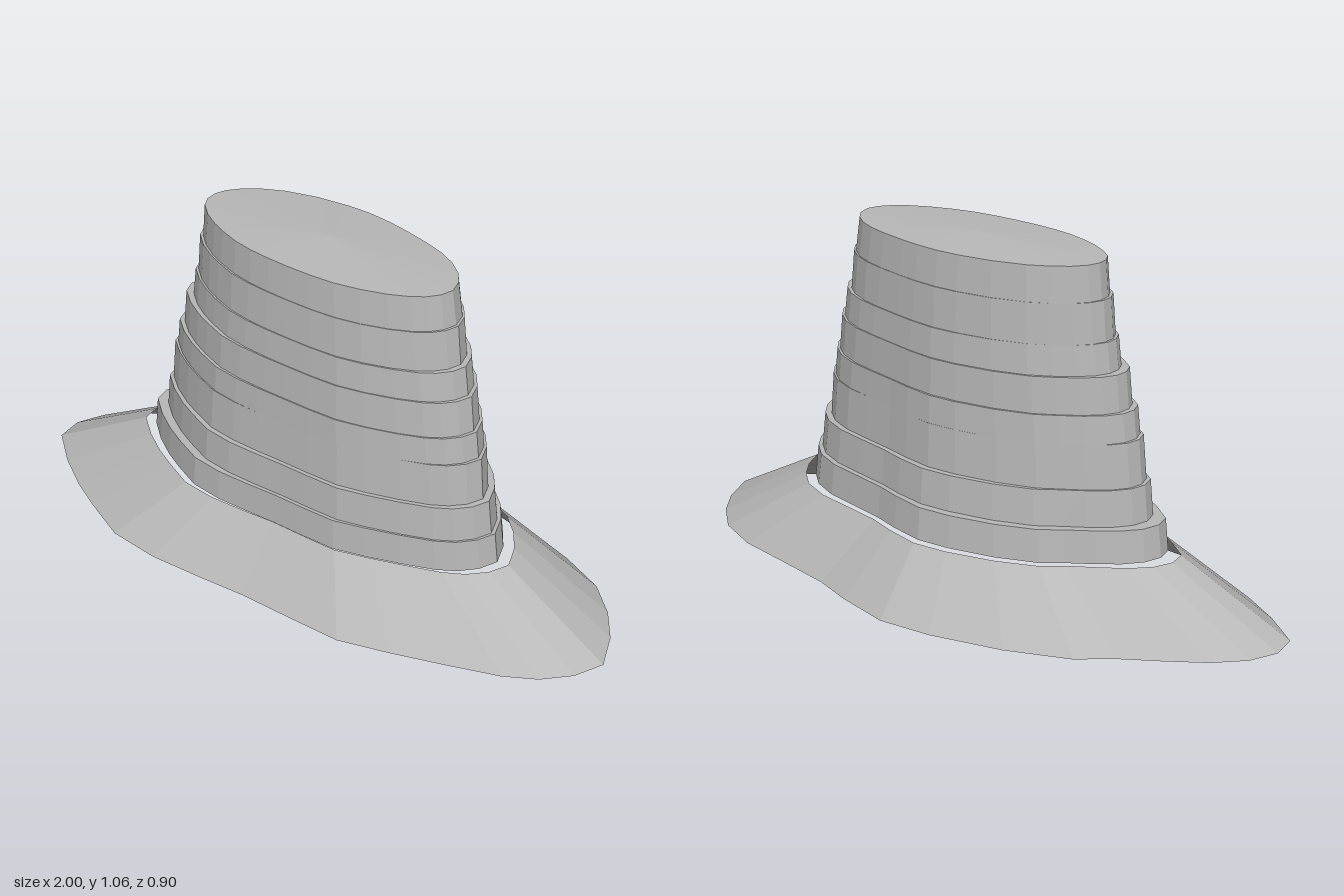
import * as THREE from 'three';

const felt = new THREE.MeshStandardMaterial({ color: 0xb8b8b8, flatShading: true, side: THREE.DoubleSide });
felt.name = 'grey felt';

// Wavy brim outline (x, z), running back, left, front, right
const outline = [
  [0, -.455], [.17, -.42], [.3, -.38], [.49, -.35], [.66, -.325], [.8, -.27], [.89, -.19], [.955, -.1],
  [1, .01], [.96, .1], [.89, .175], [.8, .23], [.65, .29], [.49, .35], [.34, .4], [.165, .41],
  [0, .417], [-.16, .435], [-.33, .45], [-.5, .44], [-.65, .38], [-.76, .33], [-.88, .26], [-.99, .175],
  [-1, .09], [-.96, .005], [-.88, -.075], [-.77, -.15], [-.66, -.22], [-.57, -.295], [-.385, -.375], [-.165, -.435],
];

// Crown ring: outline blended toward an oval, then fitted to x0..x1, z0..z1
function ring(y, blend, x0, x1, z0, z1) {
  const pts = outline.map(([x, z]) => {
    const t = Math.atan2(z / .455, x);
    return [x + (Math.cos(t) - x) * blend, z / .455 + (Math.sin(t) - z / .455) * blend];
  });
  const fit = (k, lo, hi) => {
    const v = pts.map(p => p[k]), a = Math.min(...v), b = Math.max(...v);
    return v.map(n => lo + (hi - lo) * (n - a) / (b - a));
  };
  const xs = fit(0, x0, x1), zs = fit(1, z0, z1);
  return xs.map((x, i) => [x, y, zs[i]]);
}

// Surface through a list of rings, lowest or outermost first
function skin(rings, name) {
  const n = outline.length, index = [];
  for (let r = 0; r < rings.length - 1; r++) {
    for (let i = 0; i < n; i++) {
      const a = r * n + i, b = r * n + (i + 1) % n;
      index.push(a, a + n, b, b, a + n, b + n);
    }
  }
  const geo = new THREE.BufferGeometry();
  geo.setAttribute('position', new THREE.Float32BufferAttribute(rings.flat(2), 3));
  geo.setIndex(index);
  geo.computeVertexNormals();
  const mesh = new THREE.Mesh(geo, felt);
  mesh.name = name;
  return mesh;
}

// Tiers: y0, y1, then bottom and top extents (right, left, back, front)
const tiers = [
  [.19, .29, [-.617, .627, -.277, .29], [-.605, .615, -.268, .285]],
  [.29, .40, [-.565, .605, -.245, .27], [-.553, .592, -.237, .265]],
  [.40, .535, [-.543, .572, -.218, .25], [-.53, .56, -.212, .244]],
  [.535, .62, [-.52, .55, -.211, .243], [-.51, .54, -.208, .24]],
  [.62, .73, [-.493, .53, -.201, .235], [-.482, .517, -.198, .23]],
  [.73, .82, [-.456, .505, -.193, .226], [-.445, .493, -.188, .221]],
  [.82, .94, [-.437, .476, -.184, .218], [-.427, .463, -.179, .212]],
  [.94, 1.045, [-.42, .455, -.176, .21], [-.41, .44, -.168, .204]],
];

export function createModel() {
  const hat = new THREE.Group();
  hat.name = 'hat';

  // Sloping brim, open in the middle
  hat.add(skin([
    outline.map(([x, z]) => [x, 0, z]),
    outline.map(([x, z]) => [x * .66, .19, z * .66]),
  ], 'brim'));

  // Stepped crown: each wall ends in a ledge meeting the next tier
  const crown = new THREE.Group();
  crown.name = 'crown';
  const blend = k => .15 + k * .09;
  tiers.forEach(([y0, y1, low, high], k) => {
    const top = ring(y1, blend(k), ...high);
    crown.add(skin([ring(y0, blend(k), ...low), top], 'crownTier' + (k + 1)));
    const next = tiers[k + 1];
    if (next) crown.add(skin([top, ring(y1, blend(k + 1), ...next[2])], 'ledge' + (k + 1)));
    // Slightly domed lid
    else crown.add(skin([top, top.map(() => [.015, 1.057, .018])], 'crownLid'));
  });
  hat.add(crown);
  return hat;
}
